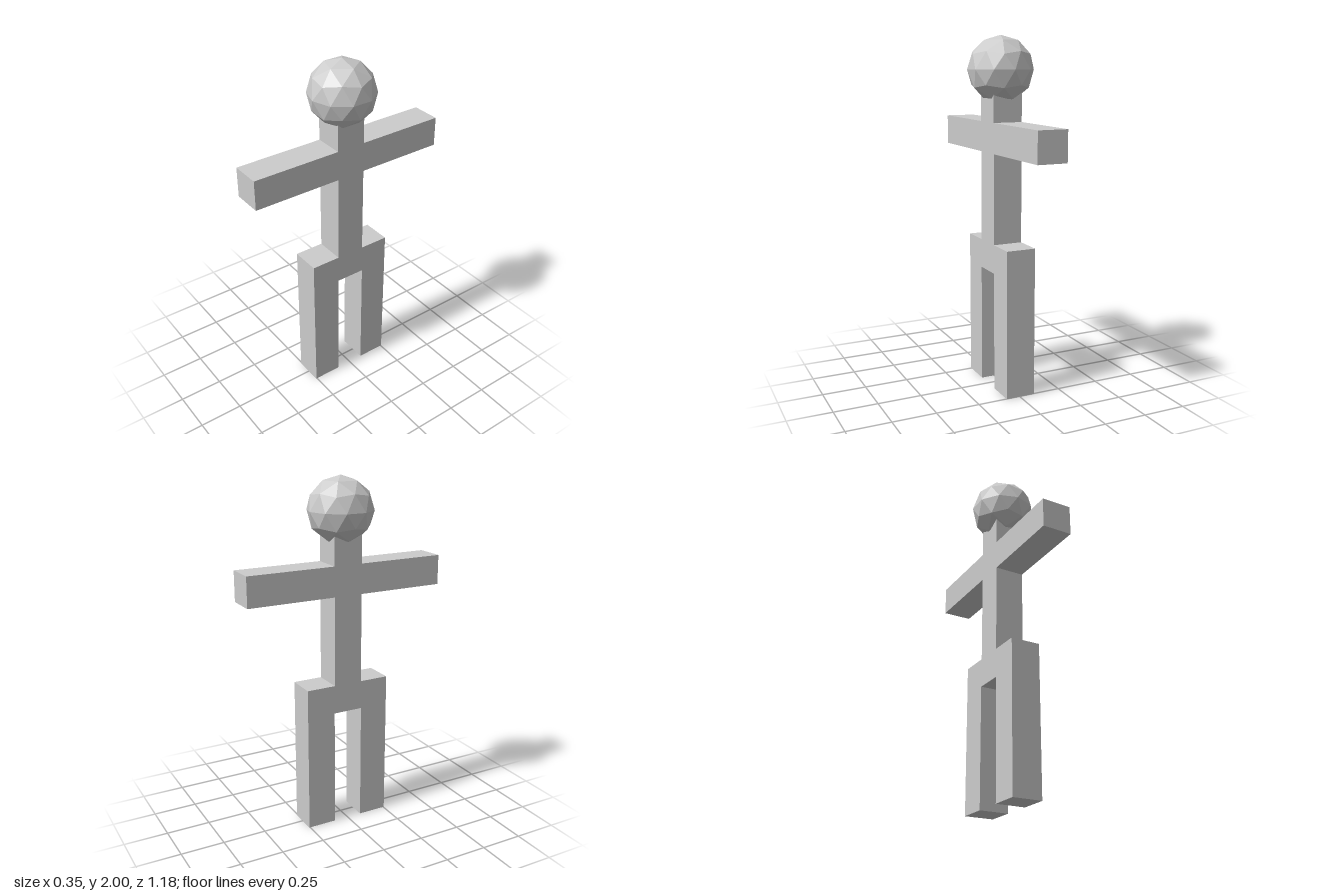
import * as THREE from 'three';

const UNIT = 0.17; // thickness of every limb

export function createModel() {
  const group = new THREE.Group();
  const material = new THREE.MeshStandardMaterial({ color: 0xcccccc, flatShading: true });

  // Body: half outline [z, y] from crotch to neck, mirrored and extruded across x
  const half = [
    [0.086, 0.685], [0.086, 0], [0.254, 0], [0.254, 0.85],
    [0.084, 0.85], [0.084, 1.36], [0.592, 1.36], [0.592, 1.53],
    [0.084, 1.53], [0.084, 1.7],
  ];
  const mirrored = half.map(([z, y]) => [-z, y]).reverse();
  const outline = [...half, ...mirrored].map(([z, y]) => new THREE.Vector2(z, y));
  const bodyGeometry = new THREE.ExtrudeGeometry(new THREE.Shape(outline), { depth: UNIT, bevelEnabled: false });
  bodyGeometry.translate(0, 0, -UNIT / 2).rotateY(-Math.PI / 2);
  const body = new THREE.Mesh(bodyGeometry, material);
  body.name = 'bodyWithArmsAndLegs';
  body.position.x = -0.004;
  group.add(body);

  // Head: faceted sphere turned so that one corner points straight up
  const golden = (1 + Math.sqrt(5)) / 2;
  const headGeometry = new THREE.IcosahedronGeometry(0.185, 1);
  headGeometry.rotateZ(-Math.atan(1 / golden));
  const head = new THREE.Mesh(headGeometry, material);
  head.name = 'head';
  head.position.y = 1.815;
  group.add(head);

  return group;
}
